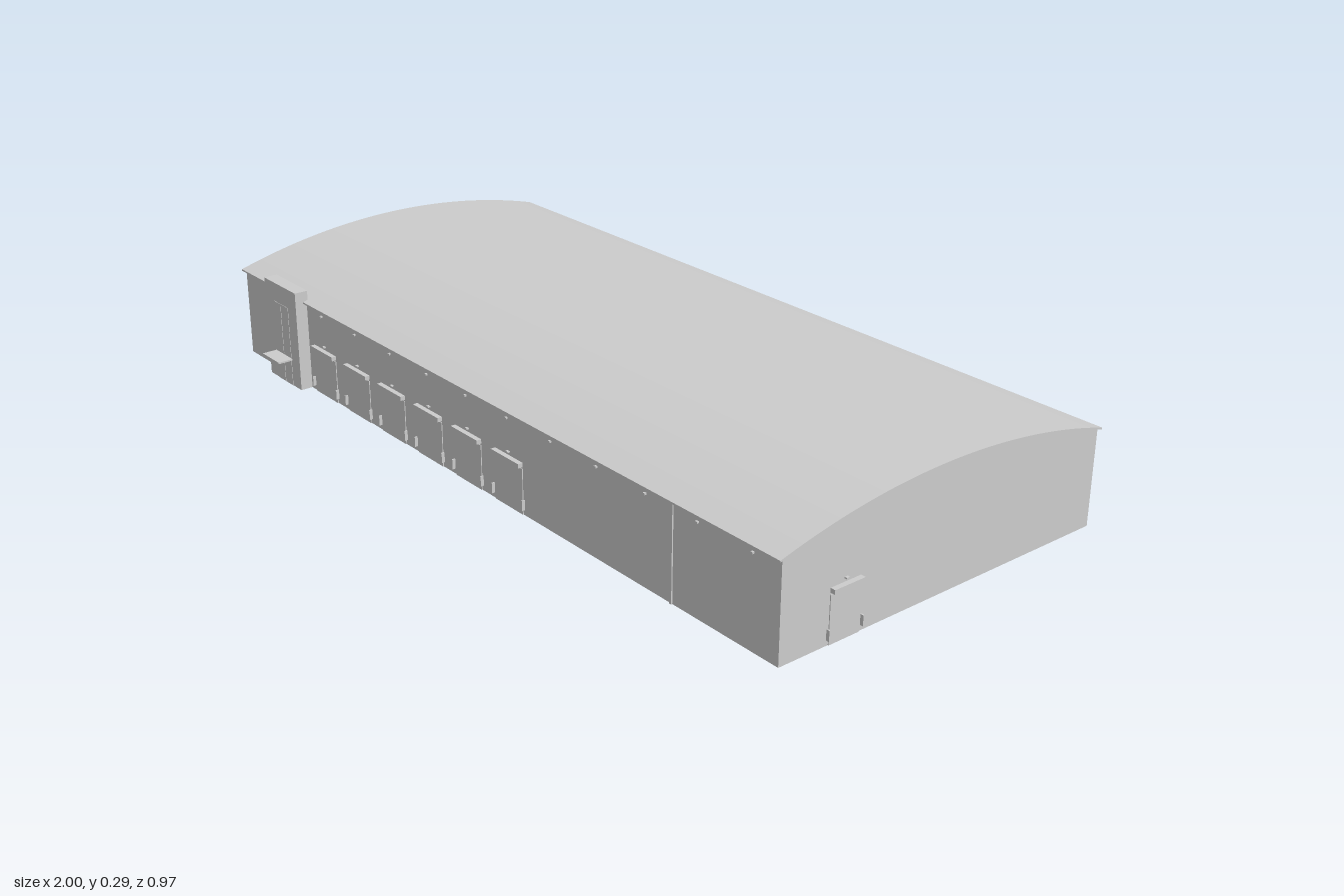
import * as THREE from 'three';

const FRONT = 0.417, BACK = -0.477, LEFT = 0.985, RIGHT = -0.995;
const MID = -0.029, RADIUS = 1.656, CREST = 0.291;

// Height of the barrel roof at depth z
const roofY = (z) => CREST - RADIUS + Math.sqrt(RADIUS ** 2 - (z - MID) ** 2);

// Points along the roof curve from z0 to z1, lowered by drop
function arc(z0, z1, drop, n = 48) {
  return Array.from({ length: n + 1 }, (_, i) => {
    const z = z0 + ((z1 - z0) * i) / n;
    return new THREE.Vector2(z, roofY(z) - drop);
  });
}

export function createModel() {
  const model = new THREE.Group();
  model.name = 'warehouse';
  const grey = new THREE.MeshStandardMaterial({ color: 0xcccccc, side: THREE.DoubleSide });
  grey.name = 'light grey';

  function add(name, geometry, x = 0, y = 0, z = 0, parent = model) {
    const mesh = new THREE.Mesh(geometry, grey);
    mesh.name = name;
    mesh.position.set(x, y, z);
    parent.add(mesh);
    return mesh;
  }
  const box = (name, w, h, d, x, y, z, parent) =>
    add(name, new THREE.BoxGeometry(w, h, d), x, y, z, parent);

  // Thin curved roof, running along x
  const band = new THREE.Shape([...arc(0.427, -0.485, 0), ...arc(-0.485, 0.427, 0.004)]);
  const roof = new THREE.ExtrudeGeometry(band, { depth: 1.99, bevelEnabled: false });
  roof.rotateY(-Math.PI / 2);
  add('roof', roof, 0.99);

  // Open-bottomed shell: two long walls and two arched end walls
  for (const [name, z, turn] of [['frontWall', FRONT, 0], ['backWall', BACK, Math.PI]]) {
    const h = roofY(z) - 0.003;
    add(name, new THREE.PlaneGeometry(LEFT - RIGHT, h), (LEFT + RIGHT) / 2, h / 2, z).rotation.y = turn;
  }
  const endShape = new THREE.Shape([
    new THREE.Vector2(FRONT, 0), ...arc(FRONT, BACK, 0.003), new THREE.Vector2(BACK, 0),
  ]);
  const end = new THREE.ShapeGeometry(endShape).rotateY(-Math.PI / 2);
  add('rightEndWall', end, RIGHT);
  add('leftEndWall', end.clone(), LEFT);

  // A door with canopy, lamp and guard posts, facing +z at its own origin
  function makeDoor(name, width) {
    const door = new THREE.Group();
    door.name = name;
    box('doorPanel', width, 0.108, 0.002, 0, 0.054, 0.001, door);
    box('canopy', width, 0.01, 0.012, 0, 0.117, 0.006, door);
    box('lamp', 0.008, 0.003, 0.006, 0, 0.131, 0.003, door);
    for (const side of [-1, 1]) {
      box('guardPost', 0.003, 0.024, 0.008, side * (width / 2 + 0.005), 0.025, 0.005, door);
    }
    model.add(door);
    return door;
  }

  // Row of loading doors along the front
  for (let i = 0; i < 6; i++) {
    makeDoor('loadingDoor', 0.1).position.set(-0.614 + i * 0.1525, 0, FRONT);
  }
  // Single door on the end wall
  const sideDoor = makeDoor('sideDoor', 0.08);
  sideDoor.position.set(LEFT, 0, 0.25);
  sideDoor.rotation.y = Math.PI / 2;

  // Entrance tower with a thin awning and a tall glazed strip
  const tower = new THREE.Group();
  tower.name = 'entranceTower';
  model.add(tower);
  box('towerBody', 0.15, 0.23, 0.031, -0.765, 0.115, 0.4325, tower);
  box('towerCap', 0.15, 0.025, 0.034, -0.765, 0.2415, 0.431, tower);
  box('awning', 0.08, 0.004, 0.04, -0.765, 0.07, 0.467, tower);
  for (const side of [-1, 1]) {
    box('entranceDoor', 0.034, 0.066, 0.001, -0.765 + side * 0.018, 0.033, 0.4485, tower);
    box('tallWindow', 0.034, 0.13, 0.001, -0.765 + side * 0.018, 0.14, 0.4485, tower);
  }

  // Downpipes
  for (let i = 0; i < 6; i++) {
    box('backDownpipe', 0.006, 0.222, 0.003, 0.835 - i * 0.306, 0.111, BACK - 0.0015);
  }
  box('frontDownpipe', 0.006, 0.222, 0.003, 0.684, 0.111, FRONT + 0.0015);

  // Small brackets under both eaves
  for (let i = 0; i < 13; i++) {
    const x = 0.91 - i * 0.153;
    box('backBracket', 0.006, 0.004, 0.005, x, 0.208, BACK - 0.0025);
    if (x > -0.68) box('frontBracket', 0.006, 0.004, 0.005, x, 0.208, FRONT + 0.0025);
  }

  return model;
}
